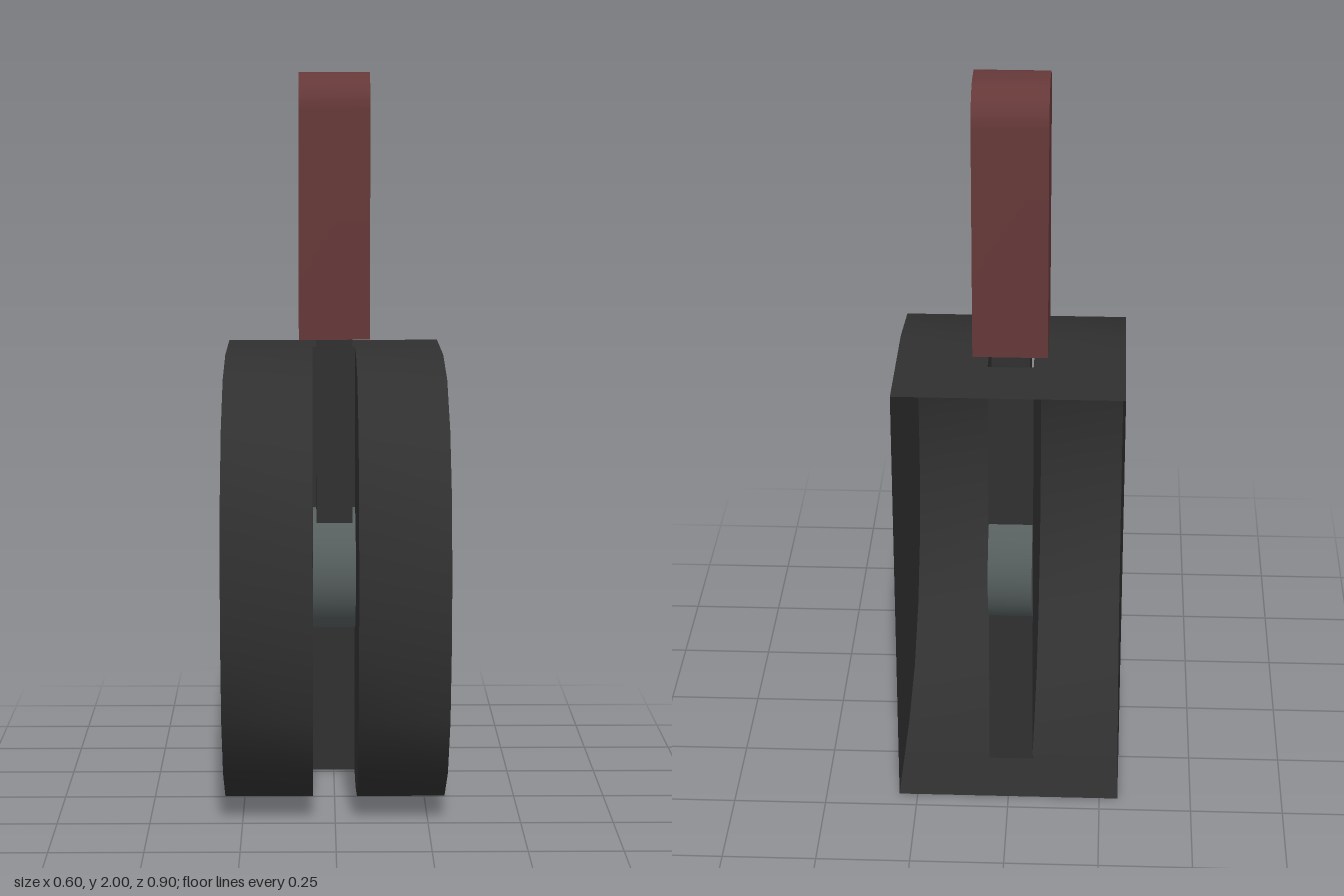
import * as THREE from 'three';
import { toCreasedNormals } from 'three/addons/utils/BufferGeometryUtils.js';

const HALF = 0.3, SLOT = 0.06, BACK = -0.45, PLATE = -0.27, TOP = 1.23;
const PIVOT_Z = -0.18;

export function createModel() {
  const group = new THREE.Group();
  const housingMat = new THREE.MeshStandardMaterial({ color: 0x303030, side: THREE.DoubleSide });
  housingMat.name = 'charcoal';
  const gripMat = new THREE.MeshStandardMaterial({ color: 0x653838 });
  gripMat.name = 'dull red';
  const steelMat = new THREE.MeshStandardMaterial({ color: 0x555d5d });
  steelMat.name = 'grey steel';

  const add = (name, geometry, material, x = 0, y = 0, z = 0) => {
    const mesh = new THREE.Mesh(geometry, material);
    mesh.name = name;
    mesh.position.set(x, y, z);
    group.add(mesh);
    return mesh;
  };

  // Upper half of the rounded front as (z, y), mirrored for the lower half
  const upper = [[-0.09, TOP], [0.13, 1.19], [0.3, 1.077], [0.41, 0.908], [0.45, 0.702]];
  const arc = [...upper, ...upper.map(([z, y]) => [z, TOP - y]).reverse()];
  const outline = (z) => [[z, TOP], ...arc, [z, 0]];

  // Flat wall in the z-y plane
  const wall = (points) => {
    const shape = new THREE.Shape(points.map(([z, y]) => new THREE.Vector2(z, y)));
    return new THREE.ShapeGeometry(shape).rotateY(-Math.PI / 2);
  };

  // Curved skin following the outline between two x positions
  const skin = (x0, x1, points) => {
    const geometry = new THREE.PlaneGeometry(1, 1, 1, points.length - 1);
    const pos = geometry.attributes.position;
    points.forEach(([z, y], i) => {
      pos.setXYZ(i * 2, x1, y, z);
      pos.setXYZ(i * 2 + 1, x0, y, z);
    });
    geometry.computeVertexNormals();
    return geometry;
  };

  // Open-backed housing: side walls, slot walls and rounded skin on each side
  for (const side of [-1, 1]) {
    const name = side > 0 ? 'left' : 'right';
    add(name + 'HousingWall', wall(outline(BACK)), housingMat, side * HALF);
    add(name + 'SlotWall', wall(outline(PLATE)), housingMat, side * SLOT);
    const [x0, x1] = side > 0 ? [SLOT, HALF] : [-HALF, -SLOT];
    add(name + 'HousingSkin', skin(x0, x1, outline(PLATE)), housingMat);
  }

  // Top and bottom behind the slot, and the plate closing the slot
  const rear = new THREE.PlaneGeometry(2 * HALF, PLATE - BACK);
  add('housingTop', rear.clone().rotateX(-Math.PI / 2), housingMat, 0, TOP, (BACK + PLATE) / 2);
  add('housingBottom', rear.clone().rotateX(Math.PI / 2), housingMat, 0, 0, (BACK + PLATE) / 2);
  add('slotBackPlate', new THREE.PlaneGeometry(2 * SLOT, TOP), housingMat, 0, TOP / 2, PLATE);

  // Pivot drum and lever arm
  const drum = new THREE.CylinderGeometry(0.17, 0.17, 2 * SLOT - 0.002, 32).rotateZ(Math.PI / 2);
  add('pivotDrum', drum, steelMat, 0, TOP / 2, PIVOT_Z);
  add('leverArm', new THREE.BoxGeometry(0.1, 0.7, 0.18), housingMat, 0, 0.97, PIVOT_Z);

  // Grip with a rounded top
  const w = 0.121, h = 0.725, r = 0.1;
  const shape = new THREE.Shape();
  shape.moveTo(-w, 0);
  shape.lineTo(w, 0);
  shape.lineTo(w, h - r);
  shape.absarc(w - r, h - r, r, 0, Math.PI / 2);
  shape.absarc(r - w, h - r, r, Math.PI / 2, Math.PI);
  shape.closePath();
  const grip = new THREE.ExtrudeGeometry(shape, { depth: 0.195, bevelEnabled: false, curveSegments: 10 });
  grip.translate(0, 0, -0.0975).rotateY(-Math.PI / 2);
  add('grip', toCreasedNormals(grip, 0.5), gripMat, 0, 1.275, -0.183);

  return group;
}
